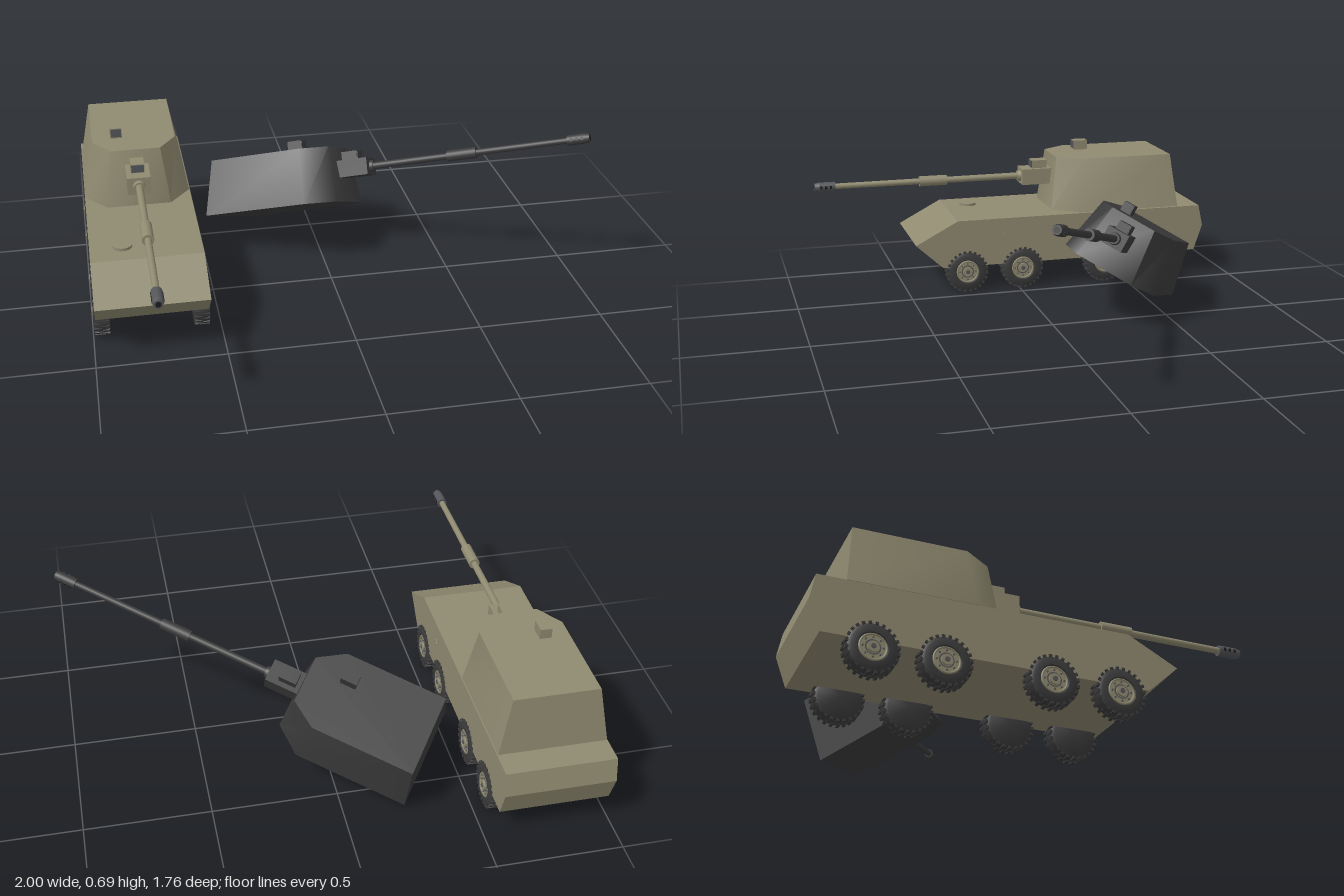
import * as THREE from 'three';
import { toCreasedNormals } from 'three/addons/utils/BufferGeometryUtils.js';

const mat = (name, color) => {
  const m = new THREE.MeshStandardMaterial({ color });
  m.name = name;
  return m;
};

export function createModel() {
  const tan = mat('tan armour', 0x8f8a70);
  const burnt = mat('charred steel', 0x3c3c3c);
  const rubber = mat('tyre rubber', 0x3b3b3c);
  const steel = mat('gun steel', 0x55565a);
  const black = mat('black openings', 0x1c1c1d);

  const add = (parent, name, geo, material, x = 0, y = 0, z = 0) => {
    const m = new THREE.Mesh(geo, material);
    m.name = name;
    m.position.set(x, y, z);
    parent.add(m);
    return m;
  };
  const box = (w, h, d) => new THREE.BoxGeometry(w, h, d);
  // tube-like solid along z between two stations
  const rod = (r0, r1, z0, z1, n = 20) =>
    new THREE.CylinderGeometry(r1, r0, z1 - z0, n).rotateX(Math.PI / 2).translate(0, 0, (z0 + z1) / 2);

  // turret shell lofted from a base outline to a smaller roof outline
  function shellGeometry() {
    const outline = (y, half, rear, chamfer, frontHalf, front) => [
      [half, rear], [-half, rear], [-half, chamfer], [-frontHalf, front], [frontHalf, front], [half, chamfer],
    ].map(([x, z]) => [x, y, z]);
    const base = outline(0, 0.215, -0.755, -0.285, 0.13, -0.175);
    const roof = outline(0.237, 0.17, -0.73, -0.31, 0.1, -0.205);
    const p = [];
    const n = base.length;
    for (let i = 0; i < n; i++) {
      const j = (i + 1) % n;
      p.push(...base[i], ...roof[j], ...base[j], ...base[i], ...roof[i], ...roof[j]);
      if (i > 0 && i < n - 1) {
        p.push(...roof[0], ...roof[j], ...roof[i]);
        p.push(...base[0], ...base[i], ...base[j]);
      }
    }
    // make every face point outward from the shell centre
    const centre = new THREE.Vector3(0, 0.12, -0.45);
    for (let k = 0; k < p.length; k += 9) {
      const [a, b, c] = [0, 3, 6].map((o) => new THREE.Vector3(p[k + o], p[k + o + 1], p[k + o + 2]));
      const normal = b.clone().sub(a).cross(c.clone().sub(a));
      if (normal.dot(a.clone().sub(centre)) < 0) {
        b.toArray(p, k + 6);
        c.toArray(p, k + 3);
      }
    }
    const g = new THREE.BufferGeometry();
    g.setAttribute('position', new THREE.Float32BufferAttribute(p, 3));
    return toCreasedNormals(g, 0.96);
  }

  // complete turret, its base on local y = 0
  function turret(name, body, metal, glass) {
    const g = new THREE.Group();
    g.name = name;
    add(g, 'turretShell', shellGeometry(), body);
    add(g, 'mantlet', box(0.095, 0.072, 0.14), body, 0, 0.14, -0.13);
    add(g, 'gunSight', box(0.055, 0.036, 0.07), body, 0, 0.194, -0.145);
    add(g, 'gunSightLens', box(0.05, 0.031, 0.004), glass, 0, 0.194, -0.109);
    add(g, 'commanderSight', box(0.048, 0.044, 0.064), body, -0.07, 0.258, -0.365);
    add(g, 'commanderSightLens', box(0.042, 0.034, 0.004), glass, -0.07, 0.26, -0.332);

    const gun = new THREE.Group();
    gun.name = 'gun';
    gun.position.set(0, 0.14, 0);
    g.add(gun);
    add(gun, 'barrelCollar', rod(0.026, 0.022, -0.062, -0.045), body);
    add(gun, 'barrel', rod(0.015, 0.0125, -0.06, 0.8), body);
    add(gun, 'boreEvacuator', rod(0.023, 0.023, 0.285, 0.41), body);
    add(gun, 'muzzleBrake', rod(0.021, 0.021, 0.79, 0.86), metal);
    add(gun, 'muzzleTip', rod(0.021, 0.017, 0.86, 0.88), metal);
    add(gun, 'bore', new THREE.CircleGeometry(0.011, 20), black, 0, 0, 0.8805);
    for (const s of [-1, 1]) {
      for (let i = 0; i < 3; i++) add(gun, 'brakeSlot', box(0.002, 0.013, 0.01), black, s * 0.021, 0, 0.81 + i * 0.021);
    }
    return g;
  }

  // road wheel with its axle along x, outer face towards +x
  function wheel() {
    const g = new THREE.Group();
    g.name = 'wheel';
    const profile = [[0, -0.031], [0.075, -0.031], [0.087, -0.024], [0.091, -0.012], [0.091, 0.012],
      [0.087, 0.024], [0.075, 0.031], [0.054, 0.031], [0.05, 0.022], [0, 0.022]];
    const tyre = new THREE.LatheGeometry(profile.map(([r, y]) => new THREE.Vector2(r, y)), 32);
    add(g, 'tyre', toCreasedNormals(tyre.rotateZ(-Math.PI / 2), 0.6), rubber);
    const tread = box(0.028, 0.01, 0.011);
    for (let i = 0; i < 48; i++) {
      const a = (i / 48) * Math.PI * 2;
      const t = add(g, 'treadBlock', tread, rubber, i % 2 ? 0.015 : -0.015, Math.cos(a) * 0.0895, Math.sin(a) * 0.0895);
      t.rotation.x = a;
    }
    const disc = (name, r, x0, x1, m) =>
      add(g, name, new THREE.CylinderGeometry(r, r, x1 - x0, 24).rotateZ(Math.PI / 2), m, (x0 + x1) / 2);
    disc('rim', 0.049, 0.015, 0.026, tan);
    add(g, 'rimRing', new THREE.TorusGeometry(0.047, 0.004, 6, 28).rotateY(Math.PI / 2), tan, 0.027);
    add(g, 'rimGroove', new THREE.RingGeometry(0.023, 0.028, 24).rotateY(Math.PI / 2), steel, 0.0267);
    disc('hub', 0.02, 0.026, 0.034, tan);
    disc('hubCap', 0.009, 0.034, 0.037, steel);
    const bolt = new THREE.CylinderGeometry(0.0035, 0.0035, 0.004, 6).rotateZ(Math.PI / 2);
    for (let i = 0; i < 8; i++) {
      const a = (i / 8) * Math.PI * 2;
      add(g, 'wheelBolt', bolt, steel, 0.028, Math.cos(a) * 0.036, Math.sin(a) * 0.036);
    }
    return g;
  }

  const model = new THREE.Group();
  model.name = 'armouredVehicleWithBlownOffTurret';

  const vehicle = new THREE.Group();
  vehicle.name = 'vehicle';
  vehicle.position.x = -0.77;
  model.add(vehicle);

  // hull: side profile pushed across the width
  const side = new THREE.Shape(
    [[0.47, 0.23], [0.28, 0.33], [-0.86, 0.33], [-0.88, 0.235], [-0.84, 0.12], [0.35, 0.12]]
      .map(([z, y]) => new THREE.Vector2(z, y)));
  const hull = new THREE.ExtrudeGeometry(side, { depth: 0.436, bevelEnabled: false });
  add(vehicle, 'hull', hull.rotateY(-Math.PI / 2).translate(0.218, 0, 0), tan);
  add(vehicle, 'driverHatch', new THREE.CylinderGeometry(0.038, 0.038, 0.012, 28), tan, -0.09, 0.335, 0.17);
  const badge = add(vehicle, 'sidePlate', box(0.004, 0.024, 0.024), tan, 0.219, 0.247, 0.07);
  badge.rotation.x = Math.PI / 4;
  badge.scale.z = 0.8;

  // four wheels on each side
  for (const s of [-1, 1]) {
    for (const z of [0.24, -0.015, -0.405, -0.66]) {
      const w = wheel();
      w.position.set(s * 0.194, 0.096, z);
      if (s < 0) w.rotation.y = Math.PI;
      vehicle.add(w);
    }
  }

  const mounted = turret('turret', tan, steel, steel);
  mounted.position.y = 0.333;
  vehicle.add(mounted);

  // burnt turret, pitched up and rolled over to its left
  const wreck = turret('detachedTurret', burnt, burnt, burnt);
  const forward = new THREE.Vector3(0.826, 0.279, 0.49).normalize();
  const up = new THREE.Vector3(0.004, 0.864, -0.498).normalize();
  const left = up.clone().cross(forward).normalize();
  up.copy(forward).cross(left);
  wreck.quaternion.setFromRotationMatrix(new THREE.Matrix4().makeBasis(left, up, forward));
  wreck.position.set(0.26, 0.307, -0.0975);
  model.add(wreck);

  return model;
}
